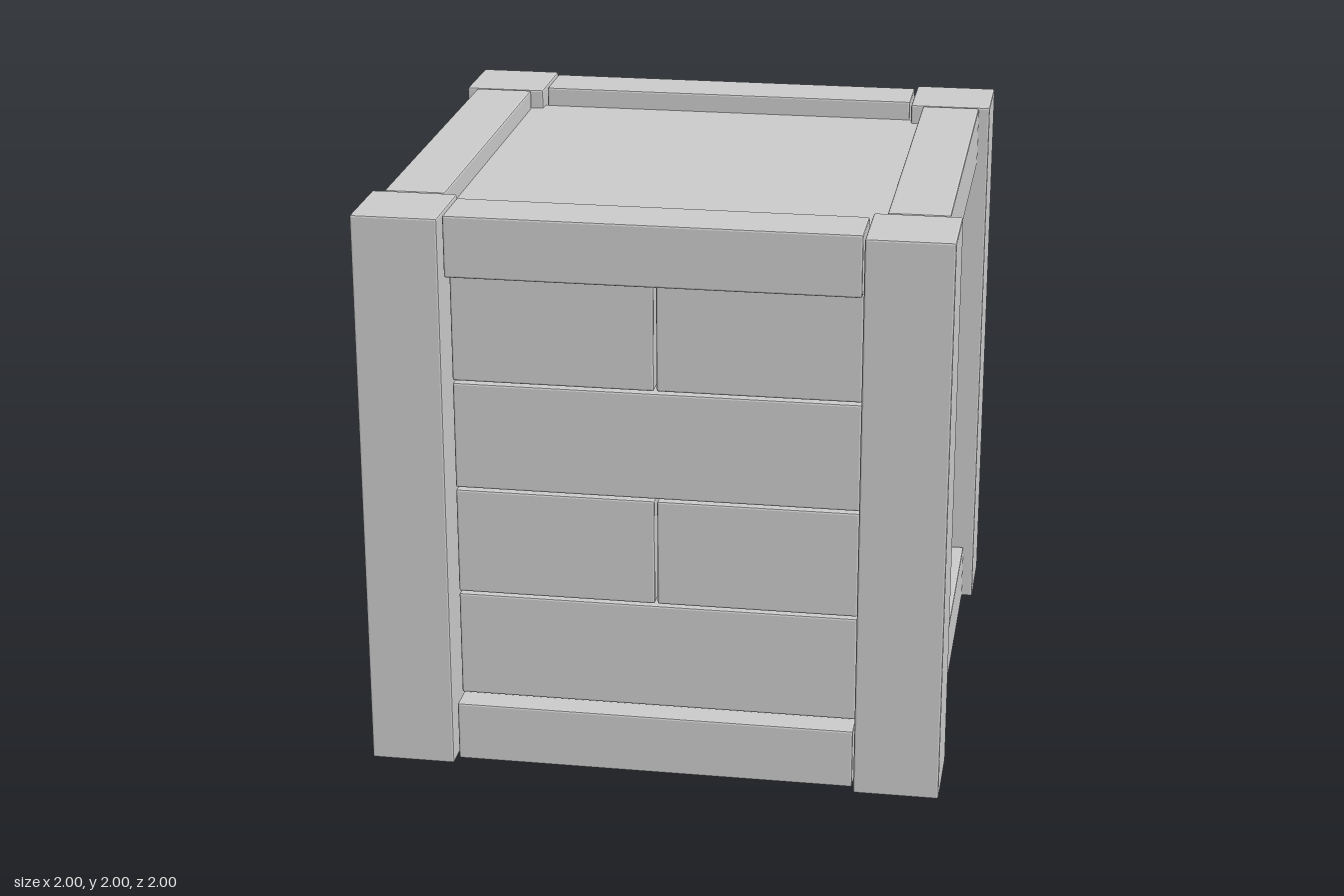
import * as THREE from 'three';
import { RoundedBoxGeometry } from 'three/addons/geometries/RoundedBoxGeometry.js';

const material = new THREE.MeshStandardMaterial({ color: 0xcccccc, flatShading: true });

// Slightly chamfered board given by its min and max corners
function board(name, [x0, y0, z0], [x1, y1, z1]) {
  const geometry = new RoundedBoxGeometry(x1 - x0, y1 - y0, z1 - z0, 1, 0.007);
  const mesh = new THREE.Mesh(geometry, material);
  mesh.position.set((x0 + x1) / 2, (y0 + y1) / 2, (z0 + z1) / 2);
  mesh.name = name;
  return mesh;
}

// One wall, facing +z: two rails and four rows of recessed planks
function createWall() {
  const wall = new THREE.Group();
  const half = 0.697, gap = 0.004, back = 0.755, face = 0.885;
  wall.add(board('bottomRail', [-half, 0, 0.75], [half, 0.215, 0.96]));
  wall.add(board('topRail', [-half, 1.785, 0.75], [half, 2, 0.96]));

  const low = 0.219, row = (1.781 - low) / 4;
  for (let i = 0; i < 4; i++) {
    const y0 = low + i * row + gap, y1 = low + (i + 1) * row - gap;
    if (i % 2 === 0) {
      wall.add(board('longPlank', [-half, y0, back], [half, y1, face]));
    } else {
      wall.add(board('shortPlank', [-half, y0, back], [-gap, y1, face]));
      wall.add(board('shortPlank', [gap, y0, back], [half, y1, face]));
    }
  }
  return wall;
}

export function createModel() {
  const crate = new THREE.Group();
  crate.name = 'crate';

  // Corner posts
  for (const x of [-1, 0.705]) {
    for (const z of [-1, 0.705]) {
      crate.add(board('cornerPost', [x, 0, z], [x + 0.295, 2, z + 0.295]));
    }
  }

  // Four identical walls
  ['frontWall', 'leftWall', 'backWall', 'rightWall'].forEach((name, i) => {
    const wall = createWall();
    wall.name = name;
    wall.rotation.y = i * Math.PI / 2;
    crate.add(wall);
  });

  // Recessed lid and floor panels
  crate.add(board('lidPanel', [-0.76, 1.8, -0.76], [0.76, 1.93, 0.76]));
  crate.add(board('floorPanel', [-0.76, 0.07, -0.76], [0.76, 0.2, 0.76]));

  return crate;
}
